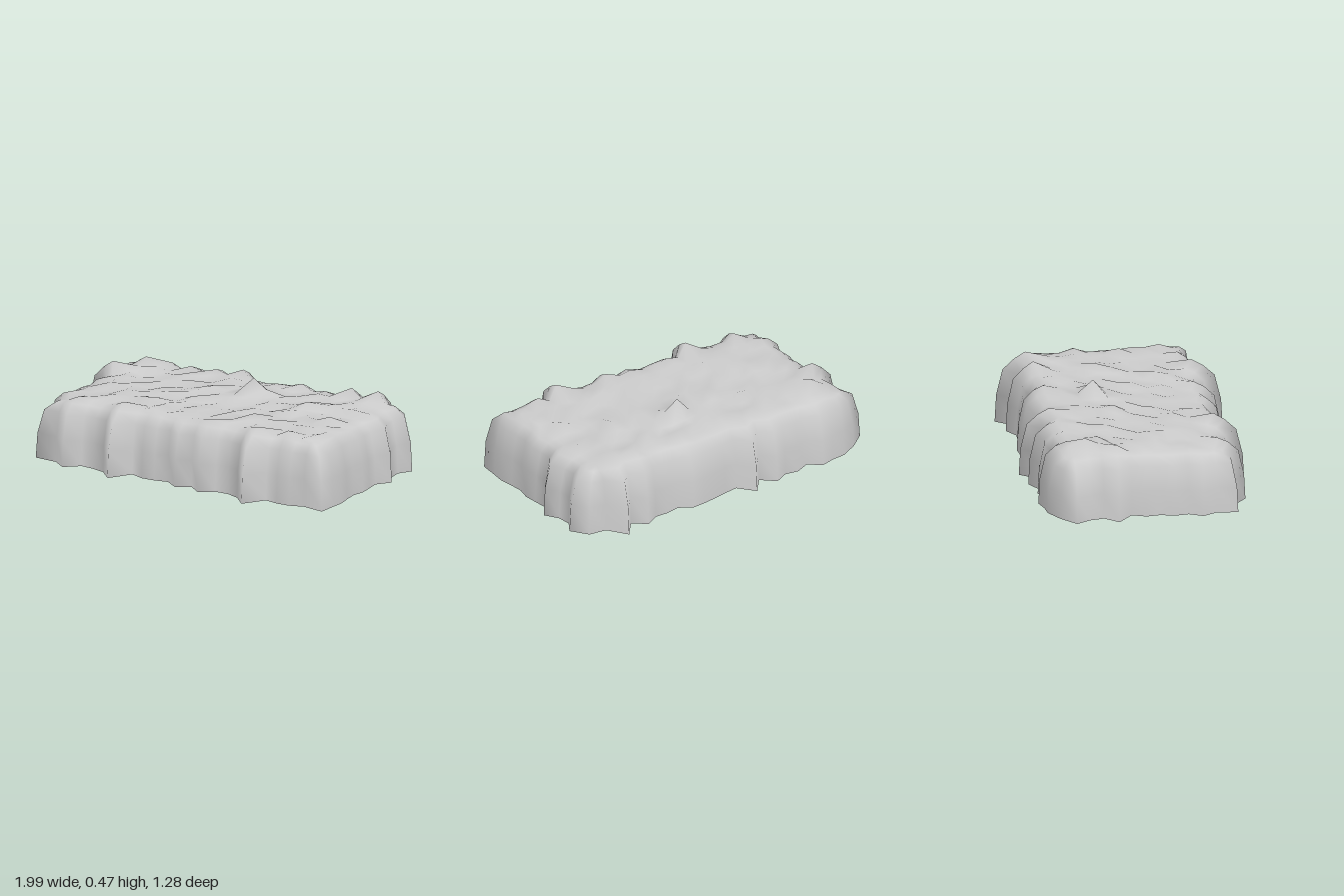
import * as THREE from 'three';

const NX = 21, NZ = 11, STEP = 0.08, SKEW = 0.03, SHIFT = 0.016;

// Distance of the hem from the centre, for each column or row of the grid
const BACK = [.52, .53, .555, .5, .54, .53, .575, .505, .61, .515, .53, .55, .565, .575, .53, .55, .55, .6, .54, .645, .53];
const FRONT = [.55, .61, .535, .54, .56, .64, .505, .535, .53, .51, .565, .515, .575, .515, .51, .54, .62, .49, .505, .5, .47];
const LEFT_SIDE = [.995, .945, .925, .995, .89, .92, .905, .925, .91, .95, .9];
const RIGHT_SIDE = [.98, .935, .945, .997, .94, .95, .96, .945, .955, .97, .965];

// Puckers on the top: x, z, extra height
const PUCKERS = [[.09, -.16, .08], [.17, -.16, .035], [.25, -.16, .02], [-.15, -.08, .04], [.34, .24, .04],
  [.49, -.1, .03], [-.55, .1, .03], [-.72, -.3, .045], [-.79, -.14, .03], [-.63, -.22, .03], [.66, .37, .035],
  [.74, .05, .025], [-.22, .4, .025], [.56, -.41, .03], [-.3, .24, .02], [.2, -.33, .02]];

function seeded(seed) {
  return () => {
    seed = (seed * 16807) % 2147483647;
    return seed / 2147483647;
  };
}

function createCloth() {
  const rand = seeded(4217);
  const top = [];
  const at = (i, j) => j * NX + i;

  // Slightly turned grid for the crumpled top
  for (let j = 0; j < NZ; j++) {
    for (let i = 0; i < NX; i++) {
      const u = (i - (NX - 1) / 2) * STEP, v = (j - (NZ - 1) / 2) * STEP;
      const x = u + SKEW * v + SHIFT, z = v - SKEW * u;
      const edge = i === 0 || j === 0 || i === NX - 1 || j === NZ - 1;
      let y = (edge ? 0.366 : 0.374) + (rand() - 0.5) * 0.032;
      for (const [px, pz, h] of PUCKERS) {
        y += h * Math.exp(-((x - px) ** 2 + (z - pz) ** 2) / 0.0022);
      }
      top.push(new THREE.Vector3(x, y, z));
    }
  }

  // Hem outline, clockwise from above: each entry pairs a rim vertex with a hem point
  const hem = [];
  const add = (i, j, x, z) => hem.push({ rim: at(i, j), x, z });
  const rimX = (i, j) => top[at(i, j)].x, rimZ = (i, j) => top[at(i, j)].z;
  const E = NX - 1, S = NZ - 1;
  for (let i = 0; i < NX; i++) add(i, 0, rimX(i, 0), -BACK[i]);
  add(E, 0, 0.91, -0.52);
  for (let j = 0; j < NZ; j++) add(E, j, RIGHT_SIDE[j], rimZ(E, j));
  add(E, S, 0.96, 0.49);
  for (let i = E; i >= 0; i--) add(i, S, rimX(i, S), FRONT[i]);
  add(0, S, -0.91, 0.545);
  for (let j = S; j >= 0; j--) add(0, j, -LEFT_SIDE[j], rimZ(0, j));
  add(0, 0, -0.9, -0.46);

  // Deep folds pull the rim outwards and lift it
  const corners = [at(0, 0), at(E, 0), at(0, S), at(E, S)];
  for (const { rim, x, z } of hem) {
    const p = top[rim];
    const dx = x - p.x, dz = z - p.z, d = Math.hypot(dx, dz);
    const extra = corners.includes(rim) ? 0 : Math.max(0, d - 0.13);
    p.x += dx / d * extra * 0.55;
    p.z += dz / d * extra * 0.55;
    p.y += extra * 0.4;
  }

  // Rings down the sides: [share of the way out to the hem, height, share of the rim's unevenness]
  const points = top.slice();
  const rings = [hem.map((h) => h.rim)];
  for (const [out, height, uneven] of [[0.36, 0.352, 0.5], [0.74, 0.305, 0.2], [0.95, 0.165, 0], [1, 0, 0]]) {
    rings.push(hem.map(({ rim, x, z }) => {
      const p = top[rim];
      const y = (height || 0.01 - 0.01 * x) + (p.y - 0.366) * uneven;
      points.push(new THREE.Vector3(p.x + (x - p.x) * out, y, p.z + (z - p.z) * out));
      return points.length - 1;
    }));
  }

  const index = [];
  const quad = (a, b, c, d) => index.push(a, b, c, b, d, c);
  for (let j = 0; j < S; j++) {
    for (let i = 0; i < E; i++) quad(at(i, j), at(i, j + 1), at(i + 1, j), at(i + 1, j + 1));
  }
  for (let r = 0; r + 1 < rings.length; r++) {
    const a = rings[r], b = rings[r + 1];
    for (let k = 0; k < hem.length; k++) {
      const n = (k + 1) % hem.length;
      if (a[k] === a[n]) index.push(a[k], b[n], b[k]);
      else quad(a[k], a[n], b[k], b[n]);
    }
  }

  const geometry = new THREE.BufferGeometry().setFromPoints(points);
  geometry.setIndex(index);
  geometry.computeVertexNormals();
  return geometry;
}

export function createModel() {
  const model = new THREE.Group();
  model.name = 'drapedCover';
  // Open underneath, so both faces show
  const material = new THREE.MeshStandardMaterial({ color: 0xcccccc, side: THREE.DoubleSide });
  const cloth = new THREE.Mesh(createCloth(), material);
  cloth.name = 'cloth';
  model.add(cloth);
  return model;
}
